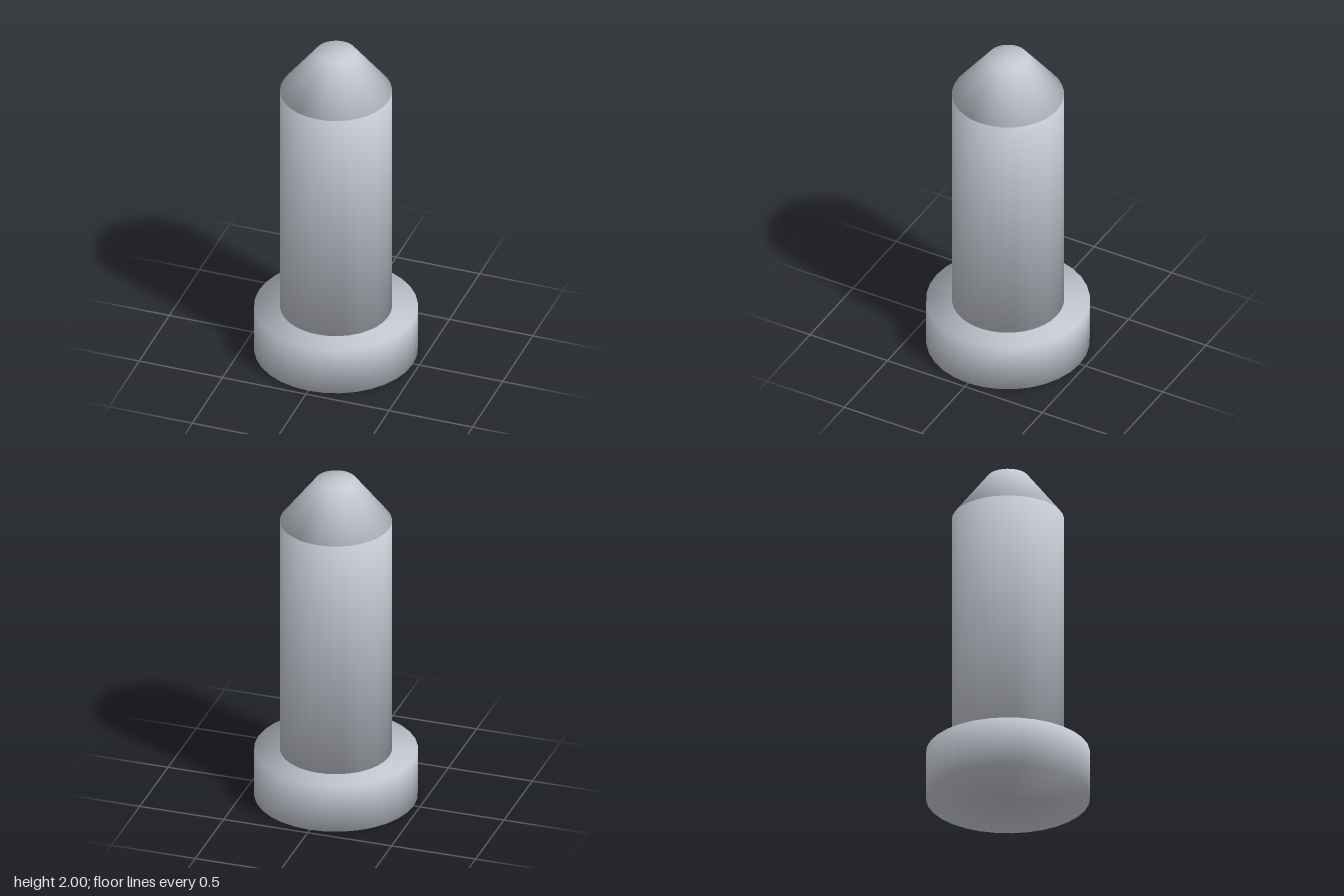
import * as THREE from 'three';
import { mergeVertices } from 'three/addons/utils/BufferGeometryUtils.js';

const SEGMENTS = 32;

// Capped cylinder whose normals are shared smoothly between wall and caps,
// every adjoining triangle counting equally
function smoothCylinder(rTop, rBottom, y0, y1) {
  let geo = new THREE.CylinderGeometry(rTop, rBottom, y1 - y0, SEGMENTS);
  geo.translate(0, (y0 + y1) / 2, 0);
  geo.deleteAttribute('normal');
  geo.deleteAttribute('uv');
  geo = mergeVertices(geo);
  geo.clearGroups();

  const pos = geo.attributes.position;
  const sums = Array.from({ length: pos.count }, () => new THREE.Vector3());
  const tri = new THREE.Triangle();
  const n = new THREE.Vector3();
  for (let i = 0; i < geo.index.count; i += 3) {
    const ids = [0, 1, 2].map((k) => geo.index.getX(i + k));
    tri.setFromAttributeAndIndices(pos, ...ids);
    tri.getNormal(n);
    ids.forEach((id) => sums[id].add(n));
  }
  const normals = sums.flatMap((v) => v.normalize().toArray());
  geo.setAttribute('normal', new THREE.Float32BufferAttribute(normals, 3));
  return geo;
}

export function createModel() {
  const group = new THREE.Group();
  group.name = 'pin';
  const steel = new THREE.MeshStandardMaterial({ color: 0xc4c8d2 });
  steel.name = 'paleSteel';

  // name, top radius, bottom radius, bottom y, top y
  const parts = [
    ['baseFlange', 0.463, 0.463, 0, 0.29],
    ['shaft', 0.317, 0.317, 0.29, 1.74],
    ['taperedTip', 0.115, 0.317, 1.74, 2],
  ];
  for (const [name, ...dims] of parts) {
    const mesh = new THREE.Mesh(smoothCylinder(...dims), steel);
    mesh.name = name;
    group.add(mesh);
  }
  return group;
}
